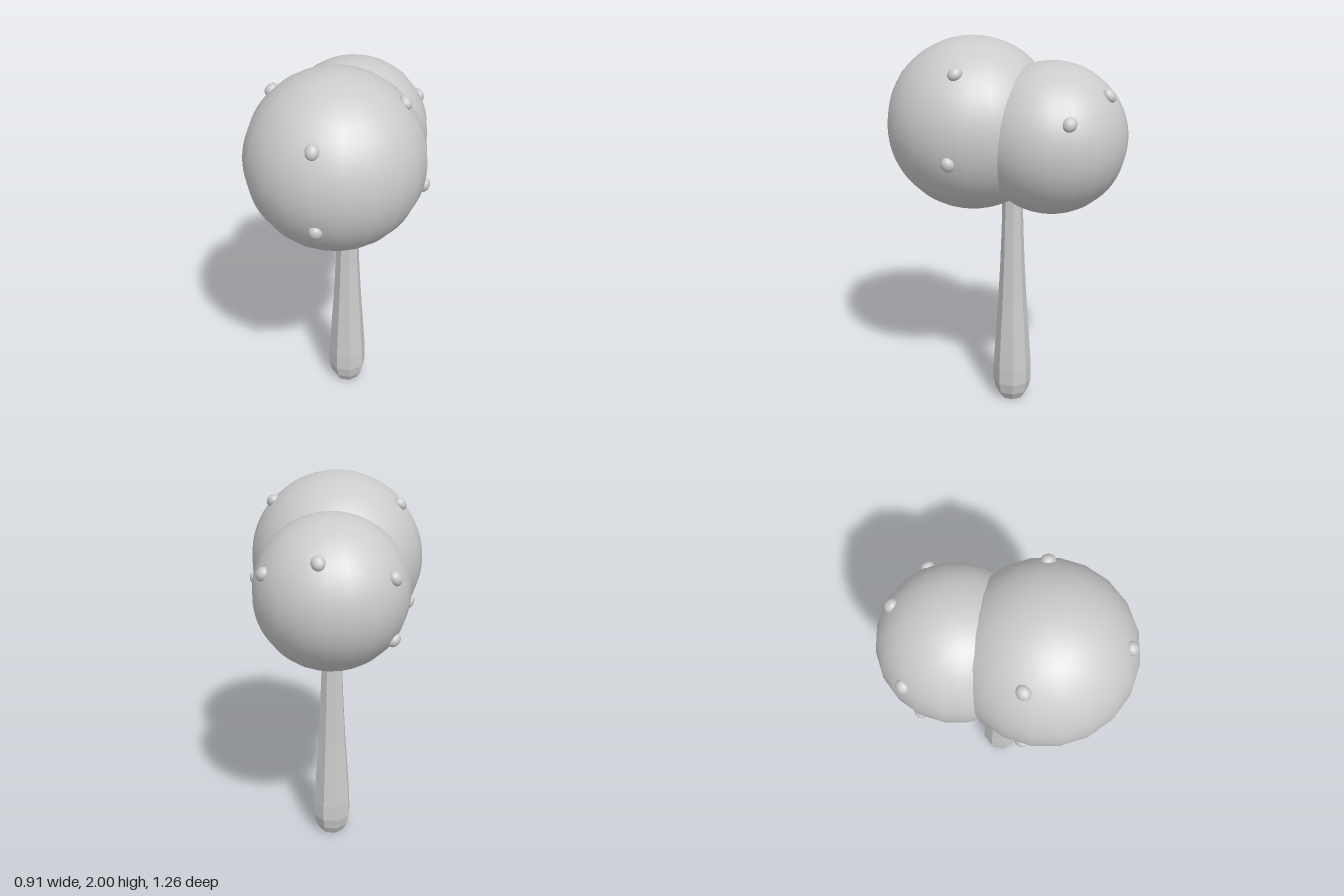
import * as THREE from 'three';

const grey = new THREE.MeshStandardMaterial({ color: 0xcccccc });
const greyFlat = new THREE.MeshStandardMaterial({ color: 0xcccccc, flatShading: true });

// A round head with small flattened studs; each stud is given by its direction from the centre
function createHead(name, radius, position, studDirections) {
  const head = new THREE.Group();
  head.name = name;
  head.position.set(...position);

  const ball = new THREE.Mesh(new THREE.SphereGeometry(radius, 20, 40), grey);
  ball.name = name + 'Ball';
  head.add(ball);

  const studGeometry = new THREE.SphereGeometry(0.036, 16, 12);
  studDirections.forEach((d, i) => {
    const normal = new THREE.Vector3(...d).normalize();
    const stud = new THREE.Mesh(studGeometry, grey);
    stud.name = name + 'Stud' + (i + 1);
    stud.position.copy(normal).multiplyScalar(radius);
    stud.quaternion.setFromUnitVectors(new THREE.Vector3(0, 0, 1), normal);
    stud.scale.set(0.93, 1.05, 0.8);
    head.add(stud);
  });
  return head;
}

export function createModel() {
  const model = new THREE.Group();
  model.name = 'doubleHeadedMallet';

  // Eight-sided handle, thicker at the grip, with a bevelled foot
  const profile = [
    [0, 0.005], [0.066, 0.005], [0.092, 0.05], [0.105, 0.11], [0.104, 0.2], [0.091, 0.4],
    [0.077, 0.6], [0.066, 0.8], [0.058, 1.0], [0.055, 1.12], [0.055, 1.35], [0, 1.35],
  ].map(([r, y]) => new THREE.Vector2(r, y));
  const handleGeometry = new THREE.LatheGeometry(profile, 8);
  handleGeometry.rotateY(Math.PI / 8);
  const handle = new THREE.Mesh(handleGeometry, greyFlat);
  handle.name = 'handle';
  handle.position.set(0.008, 0, -0.04);
  model.add(handle);

  // Large front head and smaller rear head, overlapping
  model.add(createHead('frontHead', 0.447, [-0.003, 1.553, 0.183], [
    [-0.012, 0.225, 0.386], [0.003, -0.17, 0.413],
    [0.324, 0.305, -0.045], [0.43, -0.115, -0.045],
    [-0.325, 0.303, -0.06], [-0.382, -0.225, -0.05],
  ]));
  model.add(createHead('rearHead', 0.386, [-0.004, 1.51, -0.245], [
    [0.037, 0.24, -0.3], [0.305, 0.145, -0.187],
    [-0.308, 0.138, -0.187], [-0.31, -0.19, -0.13],
  ]));
  return model;
}
